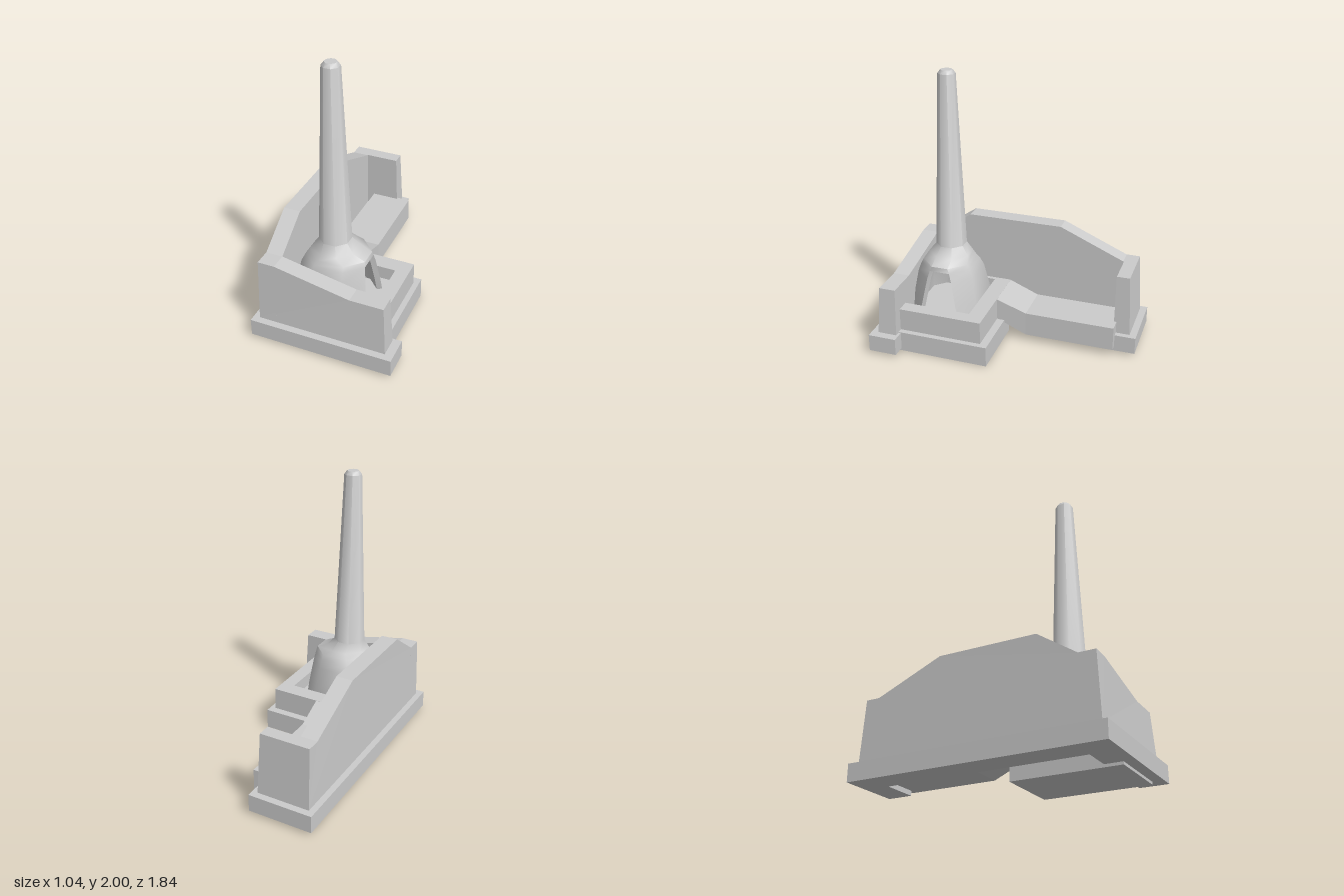
import * as THREE from 'three';
import { toCreasedNormals } from 'three/addons/utils/BufferGeometryUtils.js';

const flat = new THREE.MeshStandardMaterial({ color: 0xcccccc, flatShading: true });
const smooth = new THREE.MeshStandardMaterial({ color: 0xcccccc, side: THREE.DoubleSide });

const shapeOf = pts => new THREE.Shape(pts.map(p => new THREE.Vector2(...p)));
const extrude = (shape, depth) => new THREE.ExtrudeGeometry(shape, { depth, bevelEnabled: false });

// Flat plan outline given as [x, z], raised from y0 to y1
function slab(outline, y0, y1, hole) {
  const flip = pts => pts.map(([x, z]) => [x, -z]);
  const shape = shapeOf(flip(outline));
  if (hole) shape.holes.push(shapeOf(flip(hole)));
  return extrude(shape, y1 - y0).rotateX(-Math.PI / 2).translate(0, y0, 0);
}
const rect = (x0, x1, z0, z1) => [[x0, z0], [x0, z1], [x1, z1], [x1, z0]];

// Spread the foot of a wall outwards
function splay(geo) {
  const p = geo.attributes.position;
  for (let i = 0; i < p.count; i++) {
    if (p.getY(i) > 0.2) continue;
    if (p.getX(i) < -0.46) p.setX(i, -0.475);
    if (Math.abs(p.getZ(i)) > 0.835) p.setZ(i, Math.sign(p.getZ(i)) * 0.87);
  }
  geo.computeVertexNormals();
  return geo;
}

// Collects quads and triangles into one geometry
function facets() {
  const pos = [];
  return {
    tri: (...v) => v.forEach(p => pos.push(...p)),
    quad(a, b, c, d) { this.tri(a, b, c); this.tri(a, c, d); },
    build() {
      const g = new THREE.BufferGeometry();
      g.setAttribute('position', new THREE.Float32BufferAttribute(pos, 3));
      g.computeVertexNormals();
      return g;
    },
  };
}

// Chamfered rectangle; side 0 faces +x
function ring([y, x0, x1, z0, z1, c], inset = 0) {
  x0 += inset; x1 -= inset; z0 += inset; z1 -= inset; c -= inset * 0.5;
  return [[x1, z1 - c], [x1, z0 + c], [x1 - c, z0], [x0 + c, z0],
    [x0, z0 + c], [x0, z1 - c], [x0 + c, z1], [x1 - c, z1]].map(([x, z]) => [x, y, z]);
}

// Hood with an arched mouth on its +x side, running up into the chimney
function chimneyGeometry() {
  const rows = [ // y, x0, x1, z0, z1, chamfer
    [0.22, -0.315, 0.225, 0.235, 0.745, 0.105],
    [0.32, -0.31, 0.22, 0.247, 0.735, 0.115],
    [0.5, -0.28, 0.2, 0.277, 0.705, 0.12],
    [0.565, -0.25, 0.19, 0.3, 0.68, 0.115],
    [0.6, -0.225, 0.185, 0.318, 0.662, 0.11],
    [0.64, -0.19, 0.1, 0.338, 0.642, 0.09],
    [0.7, -0.163, 0.048, 0.387, 0.595, 0.062],
    [1.975, -0.118, -0.002, 0.432, 0.548, 0.034],
    [2, -0.1, -0.02, 0.45, 0.53, 0.024],
  ];
  const mouth = 3, f = facets();
  const outer = rows.map(r => ring(r));
  const inner = rows.slice(0, 7).map(r => ring(r, 0.035));
  const skin = (rings, flip) => {
    for (let k = 0; k < rings.length - 1; k++) for (let i = k < mouth ? 1 : 0; i < 8; i++) {
      const j = (i + 1) % 8;
      const q = [rings[k][i], rings[k][j], rings[k + 1][j], rings[k + 1][i]];
      f.quad(...(flip ? q.reverse() : q));
    }
  };
  skin(outer, false);
  skin(inner, true);
  // Jambs and lintel of the mouth
  for (let k = 0; k < mouth; k++) {
    f.quad(outer[k][0], outer[k + 1][0], inner[k + 1][0], inner[k][0]);
    f.quad(outer[k][1], inner[k][1], inner[k + 1][1], outer[k + 1][1]);
  }
  f.quad(outer[mouth][0], outer[mouth][1], inner[mouth][1], inner[mouth][0]);
  // Cap, and the closed throat inside
  const top = outer[outer.length - 1], throat = inner[inner.length - 1];
  for (let i = 1; i < 7; i++) {
    f.tri(top[0], top[i], top[i + 1]);
    f.tri(throat[0], throat[i + 1], throat[i]);
  }
  return toCreasedNormals(f.build(), 0.9);
}

// Bench running back from the hearth, ramped where the two meet
function benchGeometry() {
  const section = (z, x0, x1, yl, yr, top) => [[x0, yl, z], [x1, yr, z], [x1, top, z], [x0, top, z]];
  const s = [
    section(-0.768, -0.29, 0.01, 0.055, 0.055, 0.235),
    section(-0.11, -0.29, 0.01, 0.055, 0.055, 0.235),
    section(0.115, -0.3, 0.02, 0.055, 0.16, 0.32),
  ];
  const f = facets();
  for (let k = 0; k < 2; k++) for (let i = 0; i < 4; i++) {
    const j = (i + 1) % 4;
    f.quad(s[k][i], s[k][j], s[k + 1][j], s[k + 1][i]);
  }
  f.quad(...[...s[0]].reverse());
  f.quad(...s[2]);
  return f.build();
}

export function createModel() {
  const model = new THREE.Group();
  model.name = 'forge';
  const add = (name, geo, mat = flat) => {
    const mesh = new THREE.Mesh(geo, mat);
    mesh.name = name;
    model.add(mesh);
  };

  // Footing under the three walls
  add('footing', slab([[-0.52, 0.92], [0.52, 0.92], [0.52, 0.712], [-0.31, 0.712],
    [-0.31, -0.738], [-0.045, -0.738], [-0.045, -0.92], [-0.52, -0.92]], 0.02, 0.147));

  // Walls
  add('frontWall', splay(extrude(shapeOf([[-0.467, 0.147], [0.46, 0.147], [0.44, 0.505],
    [0.2, 0.505], [-0.345, 0.615], [-0.467, 0.615]]), 0.12).translate(0, 0, 0.73)));
  add('sideWall', splay(extrude(shapeOf([[-0.84, 0.147], [0.845, 0.147], [0.845, 0.614],
    [0.73, 0.614], [0.45, 0.805], [-0.265, 0.805], [-0.745, 0.597], [-0.84, 0.597]]), 0.122)
    .rotateY(-Math.PI / 2).translate(-0.345, 0, 0)));
  add('backWall', splay(extrude(shapeOf([[-0.467, 0.147], [-0.085, 0.147], [-0.1, 0.597],
    [-0.467, 0.597]]), 0.095).translate(0, 0, -0.845)));

  // Hearth: plinth, raised rim and sunken floor
  add('hearthPlinth', slab(rect(-0.09, 0.42, 0.055, 0.84), 0, 0.152));
  add('hearthRim', slab(rect(-0.3, 0.38, 0.112, 0.75), 0.15, 0.32, rect(-0.27, 0.28, 0.23, 0.735)));
  add('hearthFloor', slab(rect(-0.29, 0.37, 0.12, 0.745), 0.1, 0.22));
  add('hearthLedge', slab(rect(-0.265, -0.14, 0.31, 0.67), 0.385, 0.4));

  add('bench', benchGeometry());
  add('chimney', chimneyGeometry(), smooth);
  return model;
}
